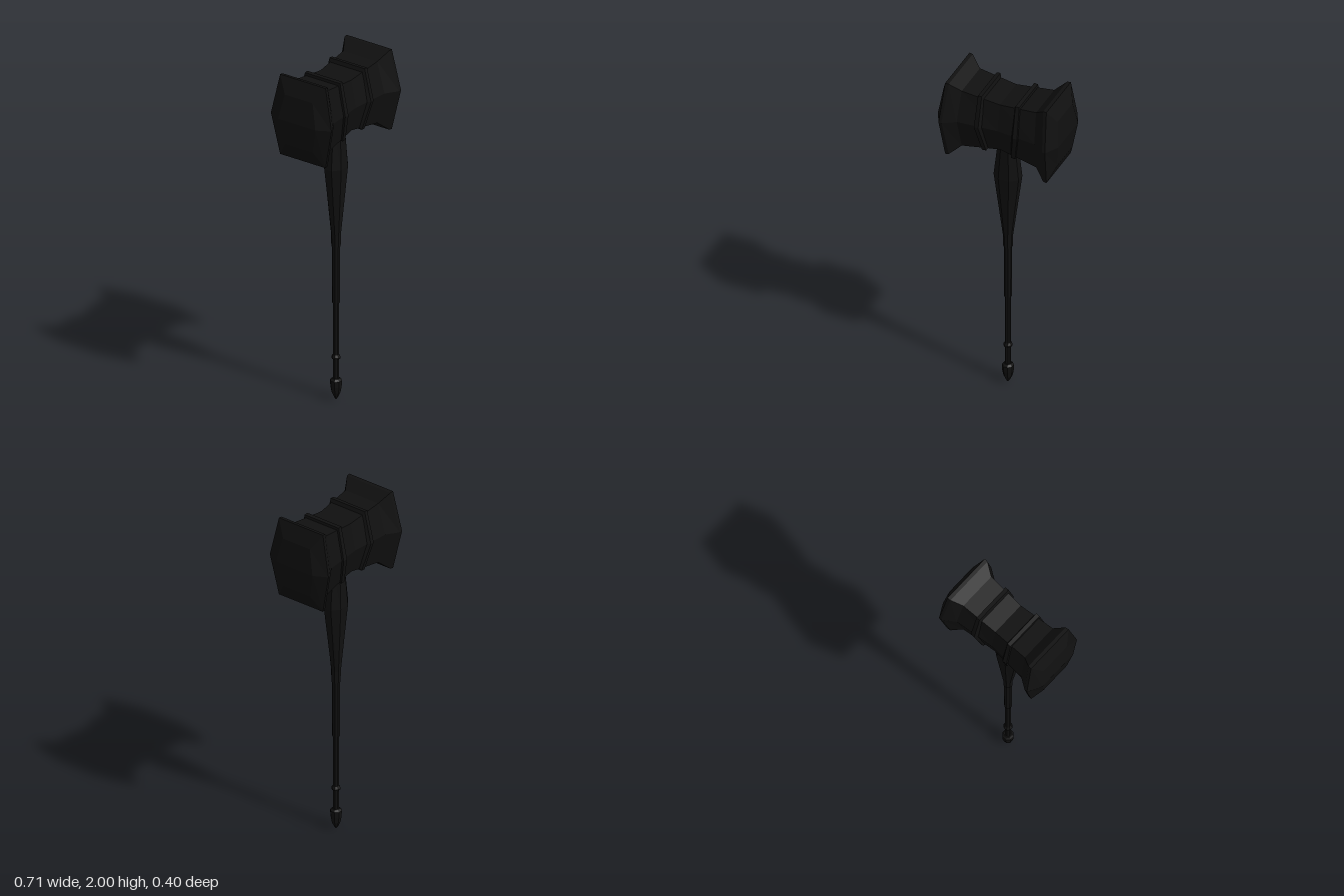
import * as THREE from 'three';

const MID_Y = 1.765;
const material = new THREE.MeshStandardMaterial({ color: 0x101010, flatShading: true });

// Six-sided ring around the x axis: x at mid, top and bottom, half depths, heights
function ring([xMid, xTop, xBottom, zMid, zTop, yTop, yBottom]) {
  return [
    [xMid, MID_Y, -zMid], [xTop, yTop, -zTop], [xTop, yTop, zTop],
    [xMid, MID_Y, zMid], [xBottom, yBottom, zTop], [xBottom, yBottom, -zTop],
  ];
}

// Mirror a ring specification to the other side
const flip = ([a, b, c, ...rest]) => [-a, -b, -c, ...rest];

// Skin the rings in order of rising x and close both ends
function loft(name, specs) {
  const rings = specs.map(ring);
  const points = [];
  const quad = (a, b, c, d) => points.push(...a, ...b, ...c, ...a, ...c, ...d);
  for (let i = 0; i < rings.length - 1; i++) {
    const p = rings[i], q = rings[i + 1];
    for (let j = 0; j < 6; j++) {
      const k = (j + 1) % 6;
      quad(p[j], p[k], q[k], q[j]);
    }
  }
  const s = rings[0], e = rings[rings.length - 1];
  quad(e[0], e[1], e[2], e[3]);
  quad(e[3], e[4], e[5], e[0]);
  quad(s[3], s[2], s[1], s[0]);
  quad(s[0], s[5], s[4], s[3]);
  const geometry = new THREE.BufferGeometry();
  geometry.setAttribute('position', new THREE.Float32BufferAttribute(points, 3));
  geometry.computeVertexNormals();
  const mesh = new THREE.Mesh(geometry, material);
  mesh.name = name;
  return mesh;
}

// Eight-sided shaft section from [y, half width, half depth] rows, flats facing the axes
function shaft(name, rows) {
  const geometry = new THREE.LatheGeometry(
    rows.map(([y, w]) => new THREE.Vector2(w / Math.cos(Math.PI / 8), y)), 8, Math.PI / 8);
  const pos = geometry.attributes.position;
  for (let i = 0; i < pos.count; i++) {
    const [, w, d] = rows[i % rows.length];
    if (w > 0) pos.setZ(i, pos.getZ(i) * d / w);
  }
  const flat = geometry.toNonIndexed();
  flat.computeVertexNormals();
  const mesh = new THREE.Mesh(flat, material);
  mesh.name = name;
  return mesh;
}

export function createModel() {
  const model = new THREE.Group();
  model.name = 'warHammer';

  // Head: narrow waist, flared rims, bevelled striking faces
  const half = [
    [0.23, 0.22, 0.22, 0.153, 0.112, 1.947, 1.583],
    [0.298, 0.28, 0.28, 0.199, 0.148, 1.998, 1.53],
    [0.315, 0.3, 0.3, 0.2, 0.15, 2.0, 1.528],
    [0.356, 0.338, 0.338, 0.123, 0.092, 1.91, 1.62],
  ];
  const waist = [0, 0, 0, 0.133, 0.102, 1.92, 1.622];
  model.add(loft('head', [...half.map(flip).reverse(), waist, ...half]));

  // Raised bands either side of the waist
  const band = [
    [0.087, 0.09, 0.066, 0.138, 0.104, 1.925, 1.615],
    [0.102, 0.1, 0.074, 0.157, 0.116, 1.952, 1.6],
    [0.128, 0.122, 0.098, 0.155, 0.116, 1.95, 1.598],
    [0.13, 0.125, 0.1, 0.142, 0.106, 1.932, 1.612],
  ];
  model.add(loft('leftBand', band), loft('rightBand', band.map(flip).reverse()));

  // Swollen neck under the head
  model.add(shaft('neck', [
    [0.98, 0, 0], [0.98, 0.025, 0.025], [1.385, 0.074, 0.057],
    [1.64, 0.047, 0.042], [1.64, 0, 0],
  ]));

  // Stepped handle
  model.add(shaft('handle', [
    [0.1, 0, 0], [0.1, 0.016, 0.016], [0.575, 0.016, 0.016], [0.575, 0.02, 0.02],
    [0.91, 0.021, 0.021], [0.91, 0.024, 0.024], [1.0, 0.025, 0.025], [1.0, 0, 0],
  ]));

  // Small collar above the pommel
  model.add(shaft('collar', [
    [0.24, 0.015, 0.015], [0.245, 0.023, 0.023], [0.255, 0.023, 0.023], [0.268, 0.015, 0.015],
  ]));

  // Pointed pommel
  model.add(shaft('pommel', [
    [0, 0, 0], [0.015, 0.01, 0.01], [0.045, 0.023, 0.023], [0.08, 0.029, 0.029],
    [0.115, 0.03, 0.03], [0.127, 0.02, 0.02], [0.127, 0, 0],
  ]));

  return model;
}
